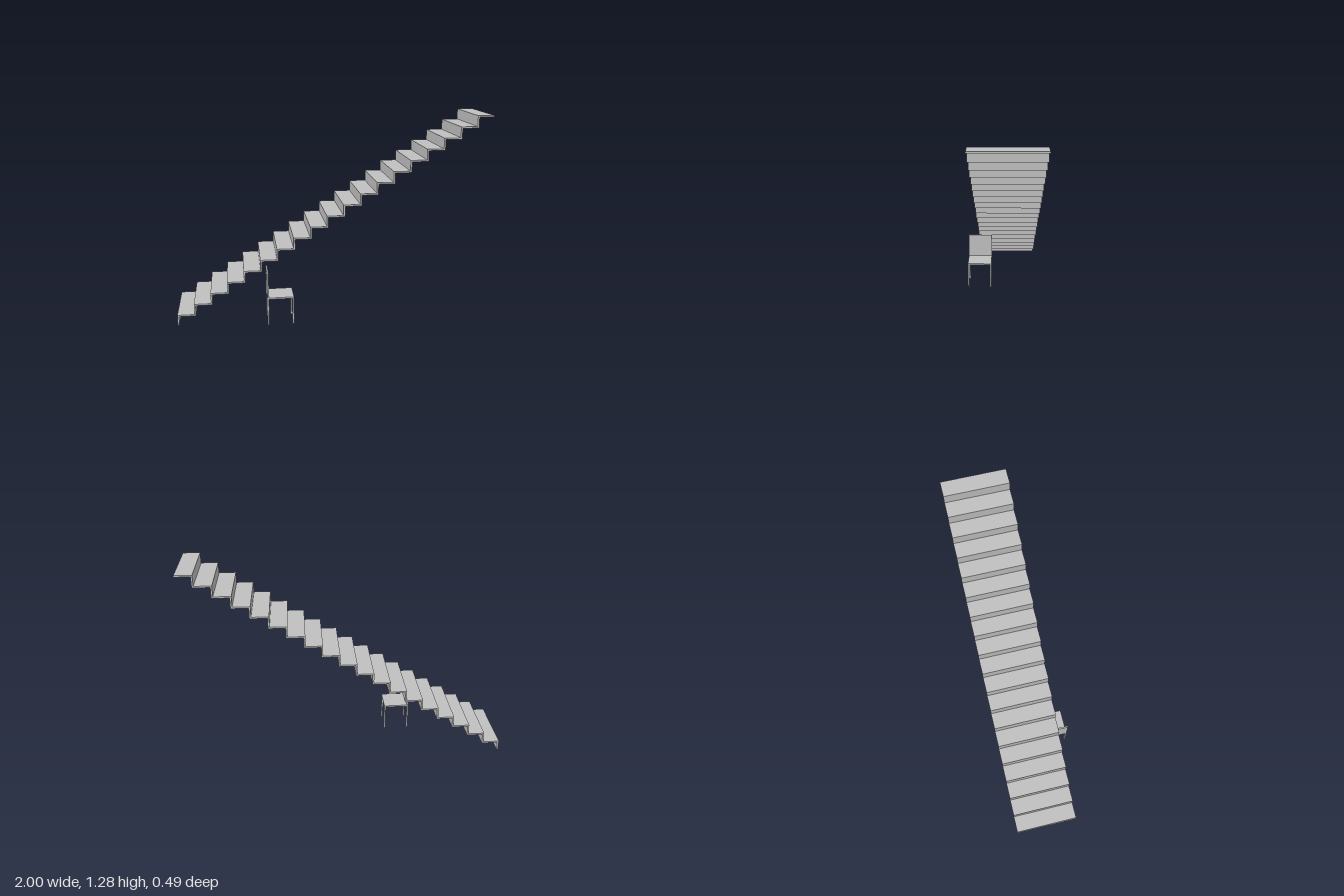
import * as THREE from 'three';

export function createModel() {
  const model = new THREE.Group();
  const grey = new THREE.MeshStandardMaterial({ color: 0xc0c0c0 });
  grey.name = 'light grey';

  // Staircase: one folded sheet of risers and treads, extruded across its width
  const steps = 19, run = 2 / steps, rise = 1.285 / steps, t = 0.01;
  const zBack = -0.243, zFront = 0.169;
  const upper = [], lower = [];
  for (let i = 0; i < steps; i++) {
    const x = -1 + i * run, y = i * rise;
    upper.push(new THREE.Vector2(x, y), new THREE.Vector2(x, y + rise));
    const end = i === steps - 1 ? 1 : x + run + t;
    lower.push(
      new THREE.Vector2(x + t, i === 0 ? 0 : y - t),
      new THREE.Vector2(x + t, y + rise - t),
    );
    if (i === steps - 1) {
      upper.push(new THREE.Vector2(end, y + rise));
      lower.push(new THREE.Vector2(end, y + rise - t));
    }
  }
  const profile = new THREE.Shape([...upper, ...lower.reverse()]);
  const stairGeometry = new THREE.ExtrudeGeometry(profile, { depth: zFront - zBack, bevelEnabled: false });
  stairGeometry.translate(0, 0, zBack);
  const stairs = new THREE.Mesh(stairGeometry, grey);
  stairs.name = 'staircase';
  model.add(stairs);

  // Chair beside the stairs, its back towards -x
  const chair = new THREE.Group();
  chair.name = 'chair';
  model.add(chair);
  const addBox = (name, x0, x1, y0, y1, z0, z1) => {
    const mesh = new THREE.Mesh(new THREE.BoxGeometry(x1 - x0, y1 - y0, z1 - z0), grey);
    mesh.position.set((x0 + x1) / 2, (y0 + y1) / 2, (z0 + z1) / 2);
    mesh.name = name;
    chair.add(mesh);
  };
  const x0 = -0.438, x1 = -0.272, z0 = 0.077, z1 = 0.243;
  const seatBottom = 0.171, seatTop = 0.181;
  addBox('seat', x0, x1, seatBottom, seatTop, z0, z1);
  addBox('backrest', x0, x0 + t, seatTop, 0.339, z0, z1);
  for (const x of [x0, x1 - t]) {
    for (const z of [z0, z1 - t]) {
      addBox(x === x0 ? 'backLeg' : 'frontLeg', x, x + t, 0, seatBottom, z, z + t);
    }
  }
  return model;
}
